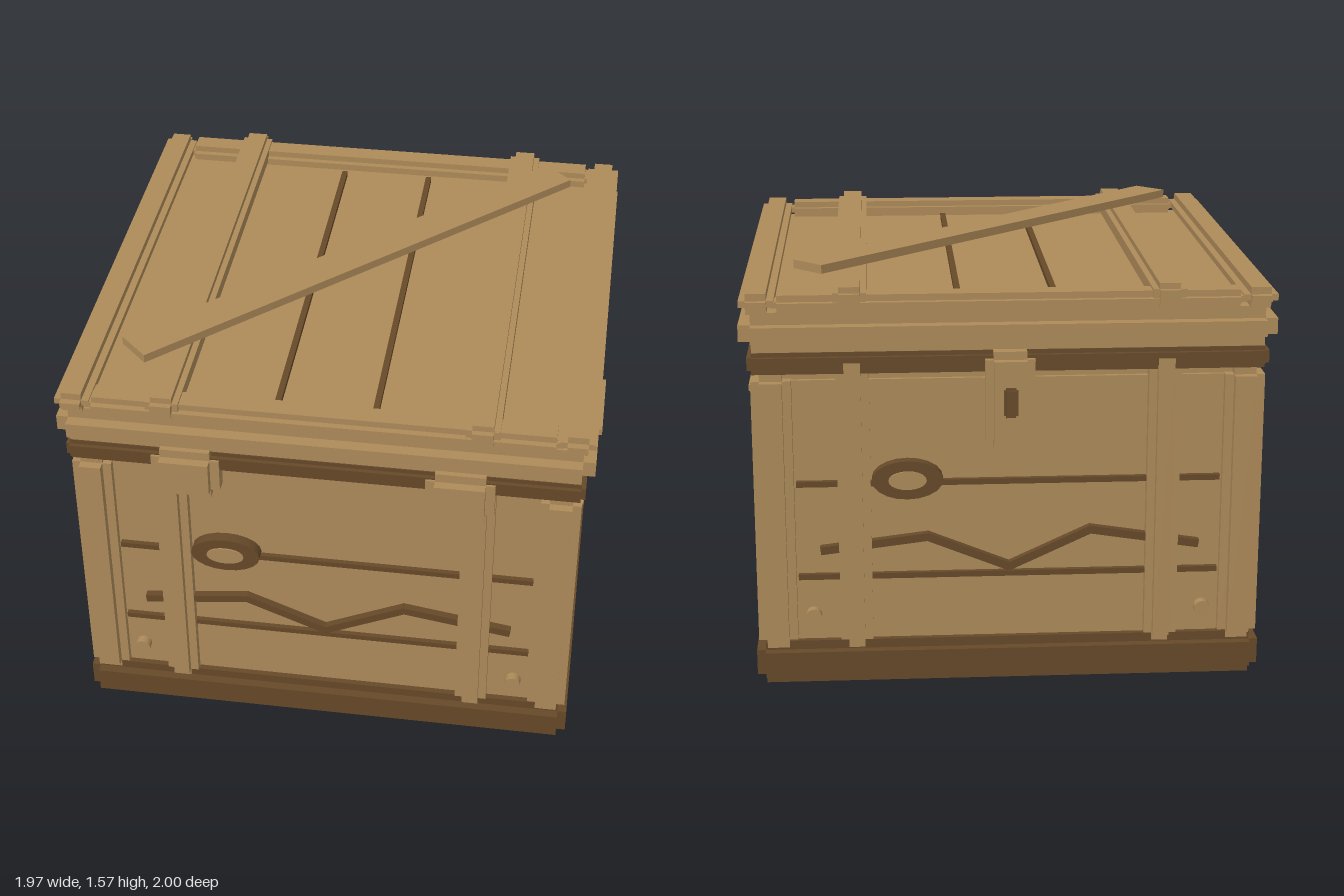
import * as THREE from 'three';
import { mergeGeometries } from 'three/addons/utils/BufferGeometryUtils.js';

export function createModel() {
  const model = new THREE.Group();
  model.name = 'crate';
  const wood = new THREE.MeshStandardMaterial({ color: 0xad8a59 });
  wood.name = 'wood';
  const dark = new THREE.MeshStandardMaterial({ color: 0x664929 });
  dark.name = 'dark wood';

  // Body of the crate, slightly forward of the origin
  const crate = new THREE.Group();
  crate.name = 'crateBody';
  crate.position.z = 0.012;
  model.add(crate);

  function add(parent, name, geometry, material, x, y, z) {
    const mesh = new THREE.Mesh(geometry, material);
    mesh.name = name;
    mesh.position.set(x, y, z);
    parent.add(mesh);
    return mesh;
  }
  const box = (parent, name, mat, w, h, d, x, y, z) =>
    add(parent, name, new THREE.BoxGeometry(w, h, d), mat, x, y, z);

  // Box with notched edges: three boxes, each full length along one axis
  function notched(parent, name, mat, w, h, d, x, y, z, b) {
    const c = 2 * b;
    const geometry = mergeGeometries([
      new THREE.BoxGeometry(w, h - c, d - c),
      new THREE.BoxGeometry(w - c, h, d - c),
      new THREE.BoxGeometry(w - c, h - c, d),
    ]);
    return add(parent, name, geometry, mat, x, y, z);
  }

  // Base, floor, core and dark band below the lid
  notched(crate, 'base', dark, 1.88, 0.165, 1.884, 0, 0.0825, 0, 0.034);
  box(crate, 'floor', wood, 1.8, 0.008, 1.8, 0, 0.003, 0);
  box(crate, 'core', wood, 1.74, 1.1, 1.74, 0, 0.68, 0);
  notched(crate, 'rimBand', dark, 1.88, 0.08, 1.884, 0, 1.238, 0, 0.016);

  // Corner posts
  for (const sx of [-1, 1]) for (const sz of [-1, 1]) {
    notched(crate, 'cornerPost', wood, 0.145, 1.06, 0.15, sx * 0.858, 0.67, sz * 0.868, 0.032);
  }

  // Four sides share the same panel, grooves, crack, knot and rivets
  const crack = [[-0.69, 0.52], [-0.3, 0.567], [0, 0.445], [0.3, 0.583], [0.7, 0.52]];
  for (let i = 0; i < 4; i++) {
    const side = new THREE.Group();
    side.name = ['front', 'leftSide', 'back', 'rightSide'][i] + 'Panel';
    side.rotation.y = i * Math.PI / 2;
    crate.add(side);
    box(side, 'panel', wood, 1.57, 1.03, 0.04, 0, 0.65, 0.866);
    for (const y of [0.415, 0.775]) {
      box(side, 'groove', dark, 1.555, 0.021, 0.03, 0, y, 0.89);
    }
    for (let k = 0; k < crack.length - 1; k++) {
      const [x0, y0] = crack[k], [x1, y1] = crack[k + 1];
      const piece = box(side, 'crackPiece', dark, Math.hypot(x1 - x0, y1 - y0) + 0.008, 0.03, 0.03,
        (x0 + x1) / 2, (y0 + y1) / 2, 0.9);
      piece.rotation.z = Math.atan2(y1 - y0, x1 - x0);
    }
    const disc = (name, mat, rx, ry, depth, x, y, z) => {
      const g = new THREE.CylinderGeometry(1, 1, depth, 20).rotateX(Math.PI / 2).scale(rx, ry, 1);
      add(side, name, g, mat, x, y, z);
    };
    disc('knot', dark, 0.13, 0.073, 0.05, -0.372, 0.793, 0.905);
    disc('knotCentre', wood, 0.07, 0.035, 0.008, -0.372, 0.793, 0.932);
    for (const sx of [-1, 1]) disc('rivet', wood, 0.03, 0.03, 0.04, sx * 0.725, 0.262, 0.9);

    if (i % 2 === 0) {
      // Upright straps on the front and back
      for (const sx of [-1, 1]) {
        notched(side, 'uprightStrap', wood, 0.12, 1.13, 0.12, sx * 0.566, 0.705, 0.89, 0.03);
      }
    } else {
      // Carrying handles on the left and right
      notched(side, 'handlePlate', dark, 0.456, 0.18, 0.09, 0, 0.893, 0.892, 0.016);
      notched(side, 'handle', wood, 0.375, 0.066, 0.065, 0, 0.937, 0.953, 0.02);
    }
  }

  // Lid slab with its border boards
  notched(crate, 'lid', wood, 1.935, 0.15, 1.935, 0, 1.35, 0, 0.045);
  for (const s of [-1, 1]) {
    notched(crate, 'lidSideBoard', wood, 0.125, 0.075, 1.93, s * 0.9, 1.46, 0, 0.026);
    notched(crate, 'lidEndBoard', wood, 1.7, 0.07, 0.125, 0, 1.455, s * 0.9, 0.024);
    notched(crate, 'lidStrap', wood, 0.12, 0.09, 1.945, s * 0.57, 1.475, 0, 0.022);
    box(crate, 'lidGroove', dark, 0.022, 0.03, 1.63, s * 0.177, 1.43, -0.005);
  }

  // Loose diagonal plank over the lid
  const plank = box(model, 'diagonalPlank', wood, 2.04, 0.032, 0.146, 0, 1.548, 0.003);
  plank.rotation.y = Math.PI / 4;

  // Front latches
  for (const s of [-1, 1]) {
    notched(model, 'latch', wood, 0.25, 0.2, 0.12, s * 0.498, 1.19, 0.937, 0.034);
  }

  // Back hasp with a dark keyhole plate
  notched(model, 'hasp', wood, 0.18, 0.36, 0.1, 0, 1.1, -0.933, 0.03);
  notched(model, 'keyhole', dark, 0.052, 0.11, 0.04, 0, 1.1, -0.98, 0.008);
  return model;
}
